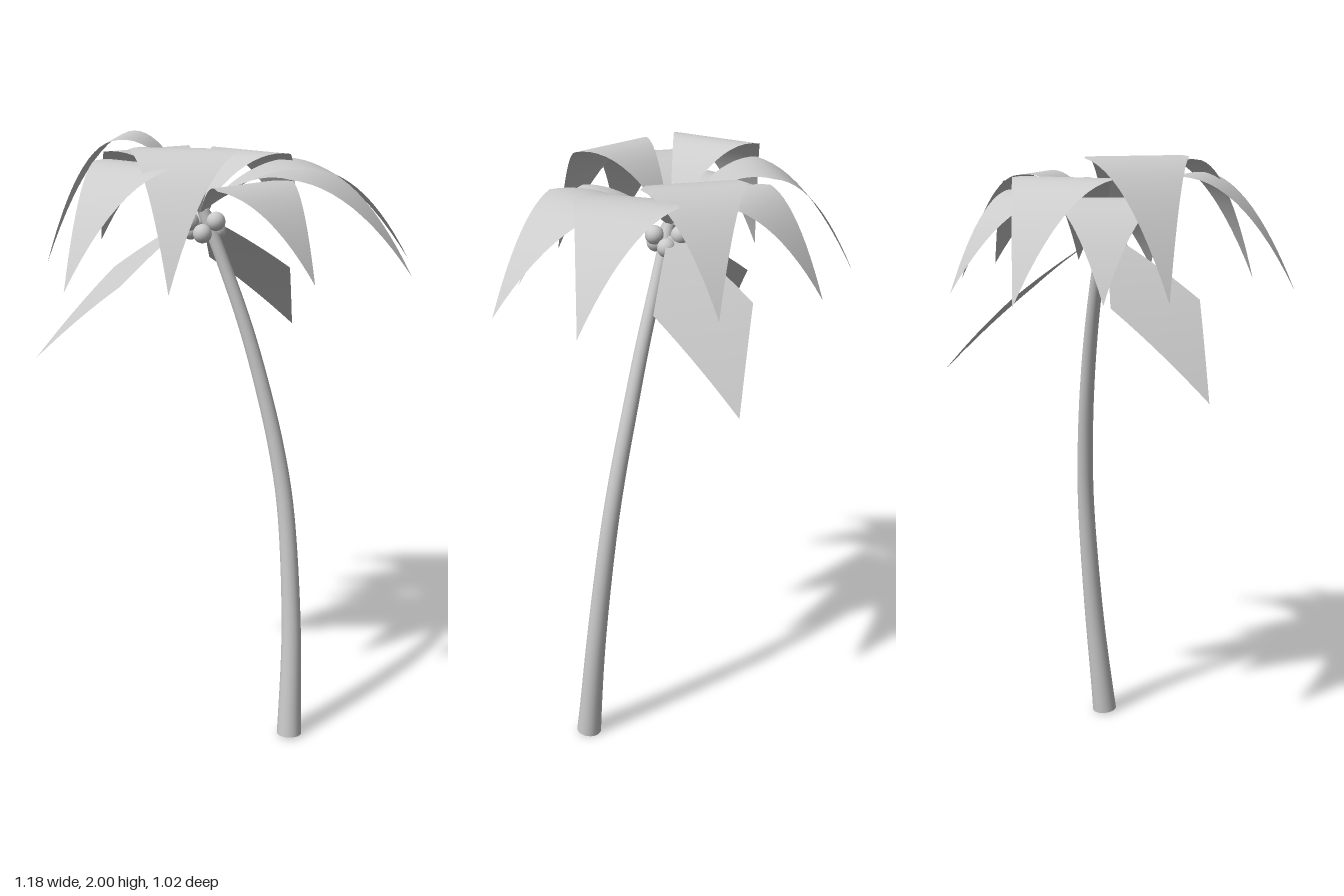
import * as THREE from 'three';

const material = new THREE.MeshStandardMaterial({ color: 0xcccccc, side: THREE.DoubleSide });
const CROWN = new THREE.Vector3(-0.085, 1.76, 0);
const HALF_WIDTH = 0.165;

function addMesh(parent, name, geometry) {
  const mesh = new THREE.Mesh(geometry, material);
  mesh.name = name;
  parent.add(mesh);
  return mesh;
}

// Kite-shaped leaf from the crown to a tip at (x, z); heightAt(t) gives its arch
function frondGeometry(x, z, heightAt) {
  const geometry = new THREE.PlaneGeometry(1, 1, 6, 24);
  const pos = geometry.attributes.position;
  const dx = x - CROWN.x, dz = z - CROWN.z;
  const length = Math.hypot(dx, dz);
  for (let i = 0; i < pos.count; i++) {
    const t = pos.getY(i) + 0.5;
    const side = pos.getX(i) * 2 * HALF_WIDTH * 2 * Math.min(t, 1 - t);
    pos.setXYZ(i,
      CROWN.x + dx * t - dz / length * side,
      heightAt(t),
      CROWN.z + dz * t + dx / length * side);
  }
  geometry.computeVertexNormals();
  return geometry;
}

// Rises to a peak, then droops to the tip
function arch(peak) {
  const p = 0.45, tip = 1.6;
  return t => t < p
    ? peak - (peak - CROWN.y) * ((p - t) / p) ** 2
    : peak - (peak - tip) * ((t - p) / (1 - p)) ** 2;
}

// Hangs down from the start
const droop = t => CROWN.y - 0.32 * t - 0.13 * t * t;

// Curved trunk, thicker at the foot
function trunkGeometry(curve, radiusAt) {
  const rings = 40, sides = 20;
  const geometry = new THREE.TubeGeometry(curve, rings, 1, sides);
  const pos = geometry.attributes.position;
  const v = new THREE.Vector3();
  for (let i = 0; i <= rings; i++) {
    const centre = curve.getPointAt(i / rings);
    for (let j = 0; j <= sides; j++) {
      const k = i * (sides + 1) + j;
      v.fromBufferAttribute(pos, k).sub(centre).multiplyScalar(radiusAt(i / rings)).add(centre);
      pos.setXYZ(k, v.x, v.y, v.z);
    }
  }
  return geometry;
}

export function createModel() {
  const tree = new THREE.Group();
  tree.name = 'palmTree';

  // Trunk and its foot
  const path = new THREE.CatmullRomCurve3([
    [0.233, 0.006, 0.09], [0.229, 0.4, 0.048], [0.199, 0.8, 0.012], [0.165, 1.0, 0],
    [0.117, 1.2, -0.008], [0.06, 1.4, -0.011], [-0.01, 1.6, -0.01], [-0.075, 1.77, -0.004],
  ].map(p => new THREE.Vector3(...p)));
  const radius = t => 0.019 + 0.016 * (1 - t) + 0.007 * (1 - t) ** 8;
  addMesh(tree, 'trunk', trunkGeometry(path, radius));
  const foot = addMesh(tree, 'trunkFoot', new THREE.CircleGeometry(radius(0), 20));
  foot.position.copy(path.getPointAt(0));
  foot.quaternion.setFromUnitVectors(new THREE.Vector3(0, 0, 1), path.getTangentAt(0).negate());

  // Arched fronds: tip x, tip z, peak height
  const fronds = new THREE.Group();
  fronds.name = 'fronds';
  tree.add(fronds);
  for (const [x, z, peak] of [
    [-0.08, 0.495, 1.985], [-0.575, 0.04, 2.0], [0.173, -0.41, 1.94],
    [-0.515, -0.4, 1.94], [-0.385, 0.505, 1.94], [-0.19, -0.515, 1.89],
    [0.558, -0.218, 1.91], [0.587, 0.095, 1.9],
    [-0.552, -0.148, 1.88], [0.313, 0.277, 1.87],
  ]) addMesh(fronds, 'archedFrond', frondGeometry(x, z, arch(peak)));

  // Two hanging fronds
  for (const [x, z] of [[-0.59, 0.16], [0.15, -0.475]])
    addMesh(fronds, 'hangingFrond', frondGeometry(x, z, droop));

  // Nuts clustered under the crown
  const nut = new THREE.SphereGeometry(0.03, 16, 12);
  for (let i = 0; i < 6; i++) {
    const a = i / 6 * Math.PI * 2 + 0.4;
    addMesh(tree, 'nut', nut).position.set(
      -0.075 + 0.048 * Math.cos(a), i % 2 ? 1.705 : 1.74, 0.045 * Math.sin(a));
  }
  return tree;
}
